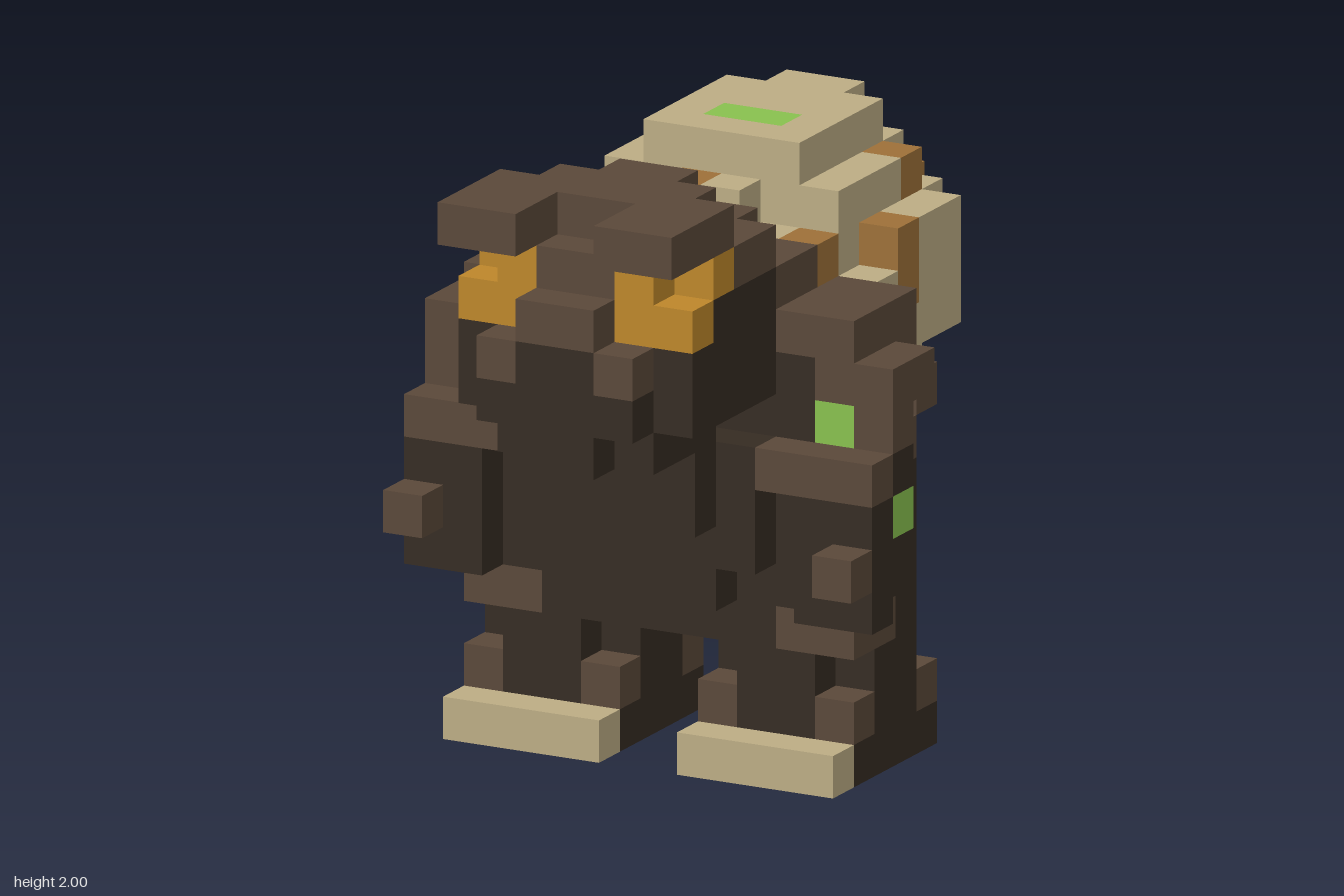
import * as THREE from 'three';

const U = 1 / 7; // edge of one block

export function createModel() {
  const group = new THREE.Group();
  const colours = {
    darkFur: 0x352b22, brownFur: 0x5a4839, tan: 0xbcac84,
    spot: 0x9d7038, amber: 0xbd862a, green: 0x88c04e,
  };
  const mats = {};
  for (const [name, color] of Object.entries(colours)) {
    mats[name] = new THREE.MeshStandardMaterial({ color });
    mats[name].name = name;
  }

  // Blocks are painted into a grid; later boxes replace earlier ones.
  const cells = new Map();
  const key = (x, y, z) => `${x},${y},${z}`;
  const box = (part, mat, x0, x1, y0, y1, z0, z1) => {
    for (let x = x0; x < x1; x++)
      for (let y = y0; y < y1; y++)
        for (let z = z0; z < z1; z++) cells.set(key(x, y, z), { part, mat, p: [x, y, z] });
  };
  const mid = (part, mat, w, ...r) => box(part, mat, -w, w, ...r);
  const pair = (part, mat, x0, x1, ...r) => {
    box(part, mat, x0, x1, ...r);
    box(part, mat, -x1, -x0, ...r);
  };

  // torso with stepped belly and back
  mid('torso', 'darkFur', 4, 3, 8, -2, 2);
  mid('torso', 'darkFur', 4, 8, 10, -1, 2);
  mid('torso', 'darkFur', 3, 8, 9, -2, -1);
  mid('belly', 'darkFur', 3, 5, 8, 2, 3);
  mid('belly', 'darkFur', 2, 4, 5, 2, 3);
  mid('belly', 'darkFur', 2, 6, 8, 3, 4);
  mid('back', 'darkFur', 3, 5, 7, -3, -2);
  mid('back', 'darkFur', 2, 4, 5, -3, -2);
  mid('back', 'darkFur', 2, 5, 7, -4, -3);
  pair('back', 'brownFur', 2, 3, 7, 8, -3, -2);

  // legs: plus-shaped columns with tufts on the corners
  pair('leg', 'darkFur', 1, 5, 0, 1, -2, 2);
  pair('leg', 'darkFur', 2, 4, 1, 3, -2, 2);
  pair('leg', 'darkFur', 1, 5, 1, 3, -1, 1);
  pair('leg', 'darkFur', 4, 5, 3, 7, -1, 1);
  for (const x of [1, 4]) for (const z of [-2, 1]) pair('ankleTuft', 'brownFur', x, x + 1, 1, 2, z, z + 1);
  pair('kneeTuft', 'brownFur', 3, 5, 3, 4, 0, 2);
  pair('toe', 'tan', 1, 5, 0, 1, 2, 3);

  // shoulders and arms
  mid('shoulder', 'brownFur', 4, 10, 11, -1, 2);
  pair('shoulder', 'brownFur', 4, 5, 9, 11, -1, 2);
  pair('shoulder', 'brownFur', 5, 6, 9, 10, 0, 2);
  pair('shoulder', 'brownFur', 4, 5, 8, 9, -2, -1);
  pair('shoulder', 'brownFur', 4, 5, 7, 8, -1, 0);
  pair('arm', 'brownFur', 5, 6, 8, 9, 1, 2);
  pair('armPatch', 'green', 4, 5, 8, 9, 1, 2);
  pair('arm', 'darkFur', 4, 6, 7, 8, 1, 2);
  pair('arm', 'brownFur', 3, 6, 7, 8, 2, 3);
  pair('arm', 'darkFur', 4, 6, 6, 7, 1, 3);
  pair('armPatch', 'green', 5, 6, 6, 7, 1, 2);
  pair('hand', 'darkFur', 4, 6, 4, 6, 2, 3);
  pair('hand', 'brownFur', 5, 6, 5, 6, 3, 4);

  // head, jaw and snout
  mid('neck', 'brownFur', 3, 11, 12, 0, 2);
  mid('head', 'darkFur', 3, 9, 12, 2, 6);
  mid('jaw', 'darkFur', 2, 8, 9, 3, 6);
  mid('jaw', 'darkFur', 1, 8, 9, 6, 7);
  mid('snout', 'darkFur', 2, 9, 10, 6, 7);
  mid('snout', 'brownFur', 2, 10, 11, 6, 7);
  mid('snout', 'darkFur', 1, 10, 11, 6, 7);
  mid('snout', 'brownFur', 1, 11, 12, 5, 7);
  mid('crown', 'brownFur', 2, 12, 13, 1, 2);
  mid('crown', 'brownFur', 3, 12, 13, 2, 4);
  mid('crown', 'brownFur', 1, 12, 13, 4, 6);

  // eyes under a forked brow
  pair('eye', 'amber', 1, 3, 11, 12, 5, 6);
  pair('eye', 'amber', 1, 2, 12, 13, 4, 6);
  pair('eye', 'amber', 2, 3, 12, 13, 4, 5);
  mid('brow', 'brownFur', 1, 13, 14, 2, 5);
  pair('brow', 'brownFur', 1, 2, 13, 14, 3, 7);
  pair('brow', 'brownFur', 2, 3, 13, 14, 4, 7);

  // round load on the back, rows of [halfWidth, y0, y1, z0, z1]
  const layers = [
    [2, 7, 8, -5, -3], [3, 8, 9, -5, -2], [2, 8, 9, -6, -5],
    [4, 9, 11, -5, -1], [3, 9, 12, -6, -1], [2, 9, 12, -7, -1],
    [4, 11, 12, -5, -2], [3, 11, 12, -1, 0], [1, 11, 12, 0, 1],
    [3, 12, 13, -5, -1], [2, 12, 13, -6, -5], [1, 12, 13, -1, 0],
    [2, 13, 14, -5, -1], [1, 13, 14, -6, -5],
  ];
  for (const l of layers) mid('sack', 'tan', ...l);

  // spots on the load, mirrored then single ones
  const spots = [
    [3, 10, 12, -3], [2, 11, 12, -1], [2, 12, 13, -5],
    [3, 9, 10, -2], [2, 9, 10, -6], [2, 8, 9, -4], [1, 7, 8, -4],
  ];
  for (const [x, y0, y1, z] of spots) pair('sackSpot', 'spot', x, x + 1, y0, y1, z, z + 1);
  for (const [x, y, z] of [[-4, 11, -5], [-1, 12, -1], [-1, 11, -7], [1, 11, -7]])
    box('sackSpot', 'spot', x, x + 1, y, y + 1, z, z + 1);
  mid('sackSlot', 'green', 1, 13, 14, -3, -2);

  // turn the exposed block faces into one mesh per part and colour
  const parts = new Map();
  for (const { part, mat, p } of cells.values()) {
    const id = `${part}|${mat}`;
    if (!parts.has(id)) parts.set(id, { part, mat, pos: [], nor: [] });
    const { pos, nor } = parts.get(id);
    for (let a = 0; a < 3; a++) for (const s of [-1, 1]) {
      const n = [0, 0, 0];
      n[a] = s;
      if (cells.has(key(p[0] + n[0], p[1] + n[1], p[2] + n[2]))) continue;
      const b = (a + 1) % 3, c = (a + 2) % 3;
      const quad = [[0, 0], [1, 0], [1, 1], [0, 1]].map(([u, v]) => {
        const q = [...p];
        q[a] += s > 0 ? 1 : 0;
        q[b] += u;
        q[c] += v;
        return q.map((t) => t * U);
      });
      if (s < 0) quad.reverse();
      for (const i of [0, 1, 2, 0, 2, 3]) {
        pos.push(...quad[i]);
        nor.push(...n);
      }
    }
  }
  for (const { part, mat, pos, nor } of parts.values()) {
    if (!pos.length) continue;
    const g = new THREE.BufferGeometry();
    g.setAttribute('position', new THREE.Float32BufferAttribute(pos, 3));
    g.setAttribute('normal', new THREE.Float32BufferAttribute(nor, 3));
    const mesh = new THREE.Mesh(g, mats[mat]);
    mesh.name = part;
    group.add(mesh);
  }
  return group;
}
